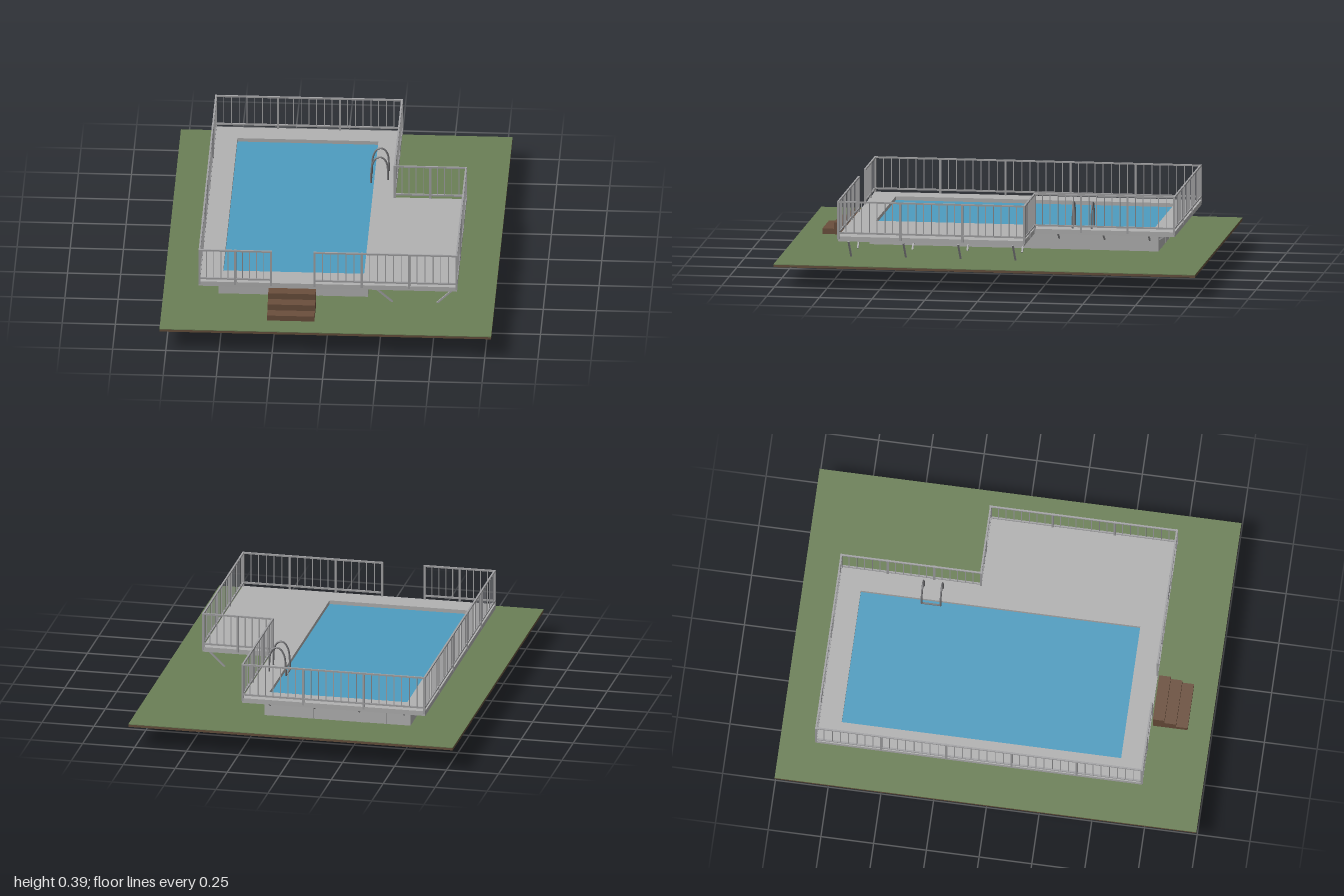
import * as THREE from 'three';

const mat = (name, color) => {
  const m = new THREE.MeshStandardMaterial({ color });
  m.name = name;
  return m;
};

export function createModel() {
  const root = new THREE.Group();
  root.name = 'raisedPool';
  const grass = mat('grass', 0x6b7f56);
  const dirt = mat('dirt', 0x66503c);
  const deckGrey = mat('deckGrey', 0xb2b2b2);
  const wallGrey = mat('wallGrey', 0xb4b4b4);
  const railGrey = mat('railGrey', 0xa3a3a5);
  const steel = mat('steel', 0x77777a);
  const water = mat('water', 0x4e9dc0);
  const basinBlue = mat('basinBlue', 0x2e6da6);
  const wood = mat('wood', 0x6b4f3c);

  const add = (name, geo, material, parent = root) => {
    const mesh = new THREE.Mesh(geo, material);
    mesh.name = name;
    parent.add(mesh);
    return mesh;
  };
  // Box given by its minimum and maximum corners
  const box = (name, x0, x1, y0, y1, z0, z1, m, parent) => {
    const b = add(name, new THREE.BoxGeometry(x1 - x0, y1 - y0, z1 - z0), m, parent);
    b.position.set((x0 + x1) / 2, (y0 + y1) / 2, (z0 + z1) / 2);
    return b;
  };
  // Square bar between two points
  const bar = (name, a, b, t, m, parent) => {
    const p = new THREE.Vector3(...a), q = new THREE.Vector3(...b);
    const mesh = add(name, new THREE.BoxGeometry(t, t, p.distanceTo(q)), m, parent);
    mesh.position.copy(p).lerp(q, 0.5);
    mesh.lookAt(q);
    return mesh;
  };
  const group = (name) => {
    const g = new THREE.Group();
    g.name = name;
    root.add(g);
    return g;
  };

  // Ground slab with grass on top
  box('groundSlab', -0.78, 0.78, 0.1, 0.111, -1, 1, dirt);
  box('lawn', -0.78, 0.78, 0.111, 0.114, -1, 1, grass);

  // Pool below ground, wall above ground and water
  box('basin', -0.5, 0.163, 0, 0.1, -0.72, 0.61, basinBlue);
  box('poolWall', -0.52, 0.182, 0.114, 0.199, -0.74, 0.63, wallGrey);
  box('water', -0.5, 0.163, 0.199, 0.205, -0.72, 0.605, water);
  const ribs = group('wallRibs');
  for (let i = 1; i < 6; i++) {
    const x = -0.52 + i * 0.117;
    for (const z of [-0.74, 0.63]) {
      box('wallRib', x - 0.003, x + 0.003, 0.114, 0.199, z - 0.002, z + 0.002, wallGrey, ribs);
    }
  }

  // L-shaped deck with an opening for the pool (shape y is -z)
  const outline = [[-0.61, 0.72], [0.605, 0.72], [0.605, -0.165], [0.27, -0.165], [0.27, -0.83], [-0.61, -0.83]];
  const toShape = ([x, z]) => new THREE.Vector2(x, -z);
  const deckShape = new THREE.Shape(outline.map(toShape));
  deckShape.holes.push(new THREE.Path([[-0.5, 0.605], [-0.5, -0.72], [0.163, -0.72], [0.163, 0.605]].map(toShape)));
  const deckGeo = new THREE.ExtrudeGeometry(deckShape, { depth: 0.023, bevelEnabled: false });
  deckGeo.rotateX(-Math.PI / 2);
  add('deck', deckGeo, deckGrey).position.y = 0.2;

  // Railing runs, leaving a gap at the steps
  const railing = group('railing');
  const railRun = (a, b) => {
    const p = new THREE.Vector2(...a), q = new THREE.Vector2(...b);
    const length = p.distanceTo(q);
    const bays = Math.ceil(length / 0.315);
    const perBay = Math.round(length / bays / 0.037);
    for (const y of [0.24, 0.388]) {
      bar('rail', [p.x, y, p.y], [q.x, y, q.y], 0.008, railGrey, railing);
    }
    for (let i = 0; i <= bays * perBay; i++) {
      const s = p.clone().lerp(q, i / (bays * perBay));
      const post = i % perBay === 0;
      const h = post ? 0.005 : 0.002;
      box(post ? 'post' : 'baluster', s.x - h, s.x + h, post ? 0.21 : 0.24, post ? 0.392 : 0.388,
        s.y - h, s.y + h, railGrey, railing);
    }
  };
  const path = [[-0.27, 0.718], [-0.606, 0.718], [-0.606, -0.827], [0.268, -0.827],
    [0.268, -0.165], [0.603, -0.165], [0.603, 0.718], [-0.065, 0.718]];
  for (let i = 0; i < path.length - 1; i++) railRun(path[i], path[i + 1]);

  // Slanted legs under the wide part of the deck
  const supports = group('deckSupports');
  for (const z of [0.67, 0.41, 0.15, -0.11]) {
    bar('deckLeg', [0.2, 0.2, z], [0.3, 0.113, z], 0.008, railGrey, supports);
    bar('deckLeg', [0.6, 0.2, z], [0.51, 0.113, z], 0.008, railGrey, supports);
  }
  // Short braces around the pool wall
  for (let i = 0; i < 7; i++) {
    const z = -0.7 + i * 0.215;
    bar('brace', [-0.52, 0.166, z], [-0.575, 0.202, z], 0.007, railGrey, supports);
    if (z < -0.2) bar('brace', [0.182, 0.166, z], [0.235, 0.202, z], 0.007, railGrey, supports);
  }
  for (let i = 0; i < 4; i++) {
    const x = -0.49 + i * 0.215;
    bar('brace', [x, 0.166, 0.63], [x, 0.202, 0.685], 0.007, railGrey, supports);
    bar('brace', [x, 0.166, -0.74], [x, 0.202, -0.795], 0.007, railGrey, supports);
  }

  // Wooden entry steps
  const steps = group('entrySteps');
  for (let i = 0; i < 3; i++) {
    const front = 0.89 - i * 0.055;
    box('step', -0.28, -0.057, 0.114, 0.14 + i * 0.03, front - 0.055, front, wood, steps);
  }

  // Pool ladder handles
  const ladder = group('poolLadder');
  for (const z of [-0.43, -0.34]) {
    const curve = new THREE.CatmullRomCurve3([
      [0.147, 0.19], [0.148, 0.25], [0.155, 0.305], [0.172, 0.335], [0.19, 0.342],
      [0.209, 0.333], [0.223, 0.305], [0.227, 0.25], [0.227, 0.215],
    ].map(([x, y]) => new THREE.Vector3(x, y, z)));
    add('ladderHandle', new THREE.TubeGeometry(curve, 32, 0.0045, 8), steel, ladder);
  }
  bar('ladderTread', [0.147, 0.207, -0.43], [0.147, 0.207, -0.34], 0.008, steel, ladder);

  return root;
}
